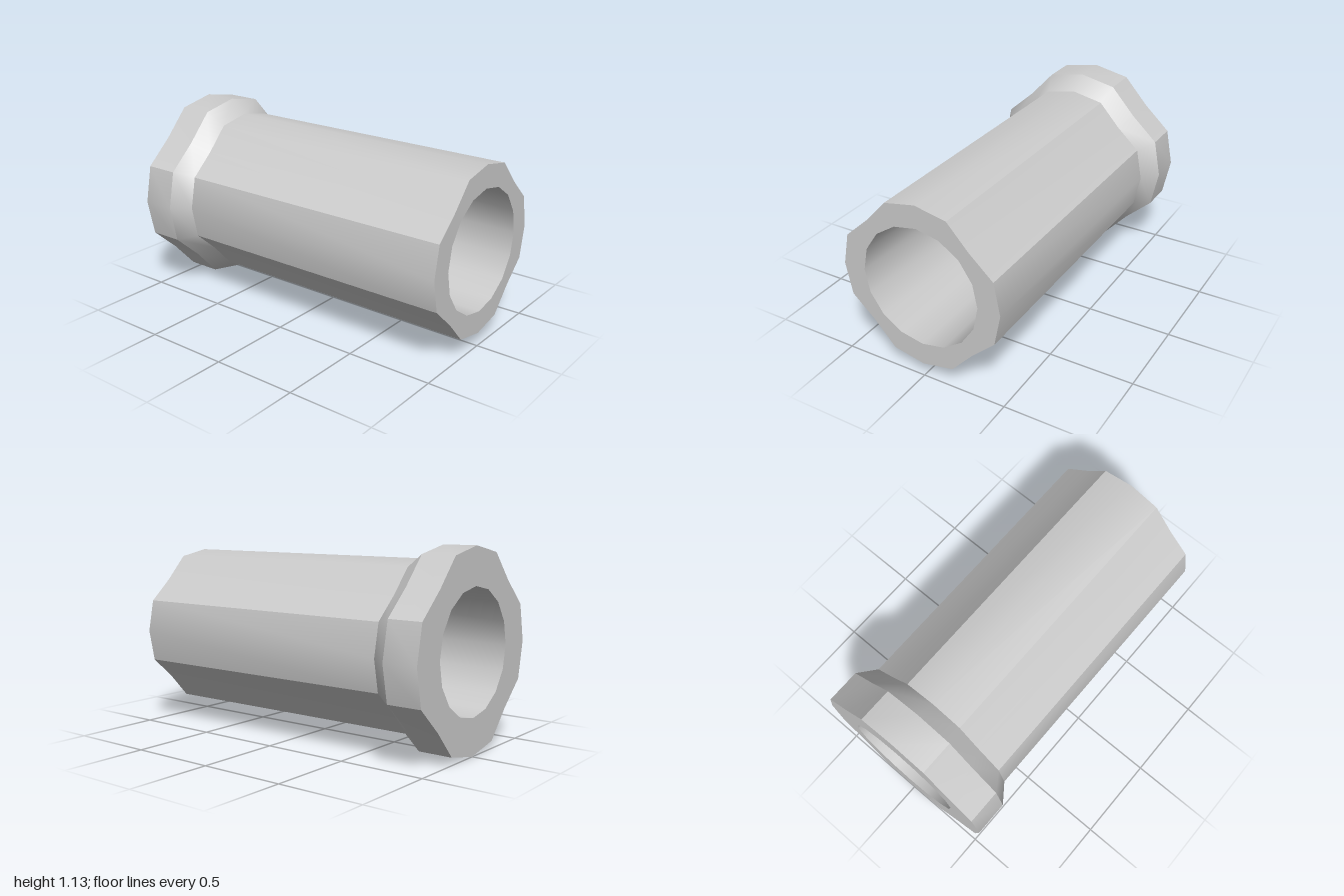
import * as THREE from 'three';
import { toCreasedNormals } from 'three/addons/utils/BufferGeometryUtils.js';

const SIDES = 16;
const AXIS_Y = 0.564;

// Cross-section ring; "dip" pulls in the four diagonal corners.
function ring(radius, z, dip = 1) {
  return Array.from({ length: SIDES }, (_, i) => {
    const a = (i / SIDES) * Math.PI * 2;
    const r = i % 4 === 2 ? radius * dip : radius;
    return [Math.cos(a) * r, Math.sin(a) * r, z];
  });
}

// Closed strip of quads joining two rings.
function strip(name, from, to, crease, material) {
  const index = [];
  for (let i = 0; i < SIDES; i++) {
    const j = (i + 1) % SIDES;
    index.push(i, j, SIDES + j, i, SIDES + j, SIDES + i);
  }
  const geometry = new THREE.BufferGeometry();
  geometry.setAttribute('position', new THREE.Float32BufferAttribute([...from, ...to].flat(), 3));
  geometry.setIndex(index);
  const mesh = new THREE.Mesh(toCreasedNormals(geometry, THREE.MathUtils.degToRad(crease)), material);
  mesh.name = name;
  return mesh;
}

export function createModel() {
  const group = new THREE.Group();
  group.name = 'flangedTube';
  const material = new THREE.MeshStandardMaterial({ color: 0xcccccc });

  const DIP = 0.906;
  const collarBack = ring(0.563, -1, DIP);
  const collarFront = ring(0.563, -0.8, DIP);
  const bodyBack = ring(0.484, -0.695, DIP);
  const bodyFront = ring(0.484, 1, DIP);
  const boreFront = ring(0.352, 1);
  const boreBack = ring(0.352, -1);

  // Walk the outside from back to front, then return through the bore.
  group.add(
    strip('collar', collarBack, collarFront, 30, material),
    strip('flare', collarFront, bodyBack, 45, material),
    strip('body', bodyBack, bodyFront, 30, material),
    strip('frontFace', bodyFront, boreFront, 30, material),
    strip('bore', boreFront, boreBack, 30, material),
    strip('backFace', boreBack, collarBack, 30, material),
  );
  group.position.y = AXIS_Y;

  const root = new THREE.Group();
  root.add(group);
  return root;
}
